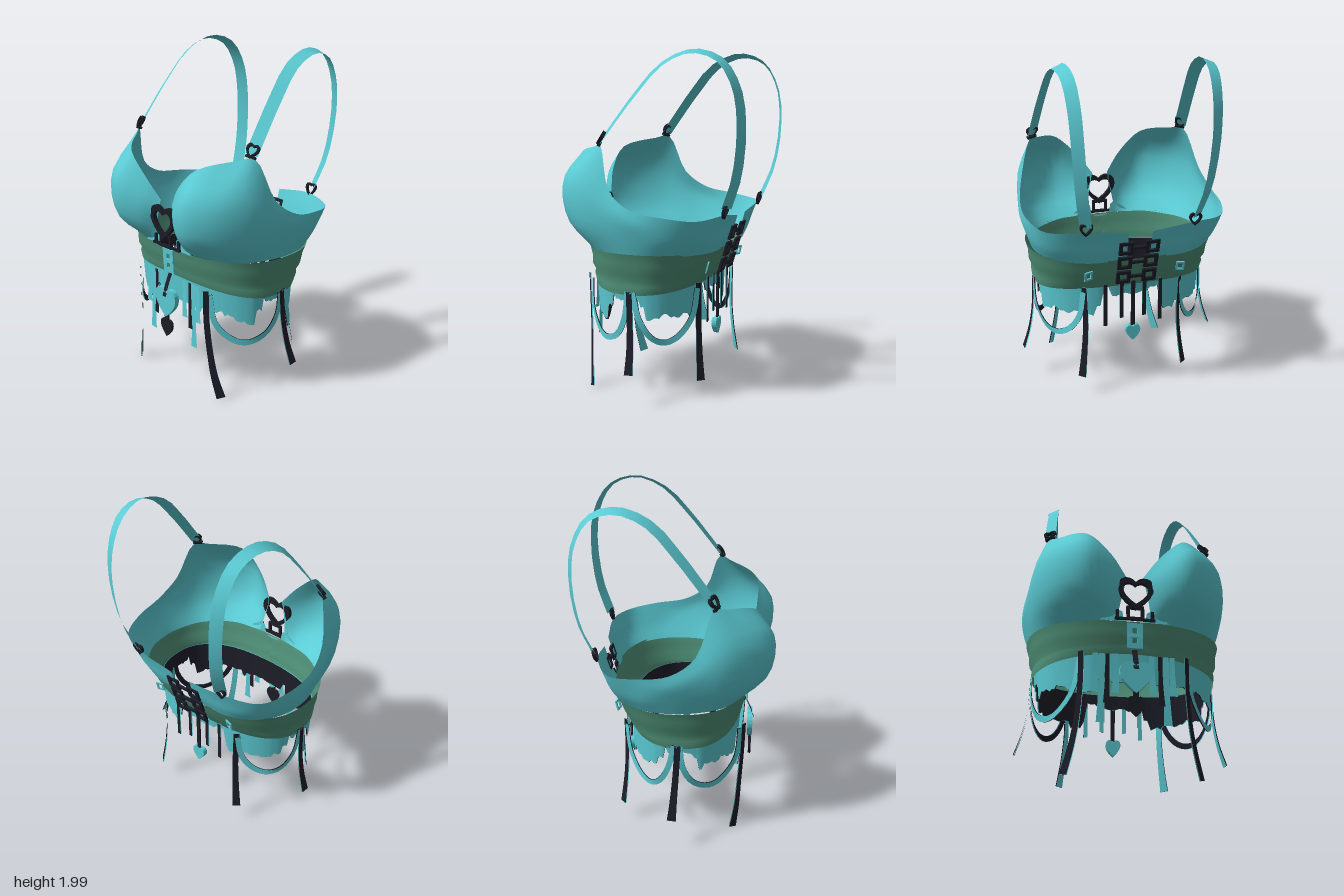
import * as THREE from 'three';

const V = (x, y, z) => new THREE.Vector3(x, y, z);
const mat = (name, color) => new THREE.MeshStandardMaterial({ name, color, side: THREE.DoubleSide });

// Surface through a (nu+1) x (nv+1) lattice of points; flip turns its front around
function grid(nu, nv, fn, flip = false) {
  const pos = [], idx = [];
  for (let i = 0; i <= nu; i++) for (let j = 0; j <= nv; j++) pos.push(...fn(i / nu, j / nv, i, j).toArray());
  for (let i = 0; i < nu; i++) for (let j = 0; j < nv; j++) {
    const a = i * (nv + 1) + j, b = a + nv + 1;
    if (flip) idx.push(a, b + 1, b, a, a + 1, b + 1);
    else idx.push(a, b, b + 1, a, b + 1, a + 1);
  }
  const g = new THREE.BufferGeometry();
  g.setAttribute('position', new THREE.Float32BufferAttribute(pos, 3));
  g.setIndex(idx);
  g.computeVertexNormals();
  return g;
}

// Flat band along a curve, facing the direction out(p), widening to its end by flare
function ribbon(points, width, out, offset = 0, flare = 0) {
  const curve = new THREE.CatmullRomCurve3(points);
  return grid(20, 1, (u, v) => {
    const p = curve.getPoint(u), t = curve.getTangent(u), o = out(p);
    const s = t.clone().cross(o).normalize();
    const normal = s.clone().cross(t).normalize();
    const w = width * (1 + flare * u * u * u);
    return p.addScaledVector(s, (v - 0.5) * w).addScaledVector(normal, offset);
  }, true);
}

// Rounded oval: a = 0 is the front centre
function oval(a, y, rx, zf, zb) {
  const f = (s) => Math.sign(s) * Math.pow(Math.abs(s), 0.83);
  return V(rx * f(Math.sin(a)), y, (zf + zb) / 2 + (zf - zb) / 2 * f(Math.cos(a)));
}

function heartPath(w, h, Type = THREE.Shape) {
  const s = new Type(), x = w / 2, y = h / 2;
  s.moveTo(0, -y);
  s.bezierCurveTo(x * 0.5, -y * 0.6, x, -y * 0.1, x, y * 0.4);
  s.bezierCurveTo(x, y * 1.1, x * 0.3, y * 1.2, 0, y * 0.75);
  s.bezierCurveTo(-x * 0.3, y * 1.2, -x, y * 1.1, -x, y * 0.4);
  s.bezierCurveTo(-x, -y * 0.1, -x * 0.5, -y * 0.6, 0, -y);
  return s;
}

function rectPath(w, h, Type = THREE.Shape) {
  const s = new Type();
  s.moveTo(-w / 2, -h / 2); s.lineTo(w / 2, -h / 2); s.lineTo(w / 2, h / 2); s.lineTo(-w / 2, h / 2); s.closePath();
  return s;
}

// Extruded outline, optionally hollowed to a frame
function plate(path, w, h, rim, depth) {
  const s = path(w, h);
  if (rim) s.holes.push(path(w - 2 * rim, h - 2 * rim, THREE.Path));
  return new THREE.ExtrudeGeometry(s, { depth, bevelEnabled: false, curveSegments: 6 }).translate(0, 0, -depth / 2);
}

// Half of the bust shell: columns from centre front to centre back, each bottom to top
const COLUMNS = [
  [0.10, 0.89, 0.42, 0.08, 1.00, 0.44, 0.06, 1.09, 0.45, 0.05, 1.16, 0.44],
  [0.18, 0.88, 0.42, 0.17, 1.00, 0.51, 0.16, 1.14, 0.53, 0.14, 1.28, 0.47],
  [0.28, 0.88, 0.40, 0.30, 1.02, 0.545, 0.30, 1.25, 0.57, 0.28, 1.41, 0.46],
  [0.40, 0.87, 0.34, 0.44, 1.02, 0.46, 0.445, 1.25, 0.485, 0.43, 1.46, 0.30],
  [0.48, 0.87, 0.25, 0.535, 1.02, 0.32, 0.55, 1.25, 0.325, 0.49, 1.47, 0.23],
  [0.53, 0.87, 0.12, 0.57, 1.00, 0.16, 0.59, 1.13, 0.16, 0.57, 1.23, 0.14],
  [0.545, 0.87, 0, 0.58, 0.97, 0, 0.605, 1.06, 0, 0.60, 1.13, 0],
  [0.52, 0.87, -0.15, 0.56, 0.95, -0.16, 0.58, 1.03, -0.17, 0.59, 1.10, -0.18],
  [0.43, 0.87, -0.28, 0.46, 0.94, -0.32, 0.49, 1.01, -0.34, 0.52, 1.08, -0.35],
  [0.28, 0.87, -0.36, 0.29, 0.94, -0.39, 0.30, 1.01, -0.41, 0.31, 1.09, -0.44],
  [0.07, 0.87, -0.37, 0.07, 0.93, -0.40, 0.07, 0.99, -0.42, 0.07, 1.06, -0.44],
];

function bustHalf(side) {
  const cols = COLUMNS.map((c) => new THREE.CatmullRomCurve3(
    [0, 3, 6, 9].map((k) => V(side * c[k], c[k + 1], c[k + 2]))));
  const nv = 10, rows = [];
  for (let j = 0; j <= nv; j++) rows.push(new THREE.CatmullRomCurve3(cols.map((c) => c.getPoint(j / nv))));
  return grid(40, nv, (u, v, i, j) => rows[j].getPoint(u), side < 0);
}

// Waist rows: height, half width, front z, back z
const WAIST = [
  [0.88, 0.57, 0.435, -0.385], [0.82, 0.553, 0.425, -0.362], [0.76, 0.55, 0.422, -0.342],
  [0.72, 0.525, 0.405, -0.32], [0.69, 0.537, 0.408, -0.31], [0.64, 0.53, 0.395, -0.28],
];

export function createModel() {
  const root = new THREE.Group();
  root.name = 'corsetTop';
  const teal = mat('teal', 0x5bcbd4), green = mat('green', 0x4f9078), dark = mat('nearBlack', 0x1c1c27);
  const add = (name, geo, m, x = 0, y = 0, z = 0, rx = 0, ry = 0) => {
    const mesh = new THREE.Mesh(geo, m);
    mesh.name = name;
    mesh.position.set(x, y, z);
    mesh.rotation.set(rx, ry, 0);
    root.add(mesh);
  };
  const radial = (p) => V(p.x, 0, p.z - 0.04).normalize();
  const facing = (z) => () => V(0, 0, z);
  // Band with a different colour on its inner face
  const twoTone = (name, pts, w, out, outer, inner, flare = 0) => {
    add(name, ribbon(pts, w, out, 0.003, flare), outer);
    add(name + 'Lining', ribbon(pts, w, out, -0.003, flare), inner);
  };

  // Waistband, with its lower edge raised at front and back
  add('waistband', grid(72, 5, (u, v, i, j) => {
    const [y, rx, zf, zb] = WAIST[j], a = u * Math.PI * 2, c = Math.cos(a);
    const lift = (0.88 - y) / 0.24 * c * c * (c > 0 ? 0.055 : 0.035);
    return oval(a, y + lift, rx, zf, zb);
  }, true), green);

  // Tattered skirt: teal outside, dark lining, short at the centre back
  const hash = (n) => { const s = Math.sin(n * 12.9898 + 4.1) * 43758.5453; return s - Math.floor(s); };
  const hem = (i, n) => {
    const a = i / n * Math.PI * 2, c = Math.cos(a), s = Math.abs(Math.sin(a));
    const base = s < 0.3 ? (c > 0 ? 0.55 : 0.63) : Math.abs(c) < 0.22 ? 0.59 : 0.515;
    return base + (hash(Math.floor(i / 4)) - 0.5) * 0.09 + (hash(i + 200) - 0.5) * 0.02;
  };
  const skirt = (inset) => grid(144, 2, (u, v, i) => {
    const y = THREE.MathUtils.lerp(0.7, hem(i % 144, 144), v), d = inset + v * 0.012;
    return oval(u * Math.PI * 2, y, 0.524 - d, 0.396 - d, -0.28 + d);
  }, true);
  add('skirt', skirt(0), teal);
  add('skirtLining', skirt(0.006), dark);

  for (const s of [1, -1]) {
    const P = (...list) => list.map(([x, y, z]) => V(s * x, y, z));
    add('bustCup', bustHalf(s), teal);

    // Shoulder strap and its heart-shaped rings
    const shoulder = P([0.475, 1.49, 0.24], [0.45, 1.75, 0.04], [0.43, 1.92, -0.12], [0.42, 1.985, -0.29], [0.405, 1.94, -0.44],
      [0.395, 1.8, -0.53], [0.385, 1.6, -0.56], [0.36, 1.32, -0.53], [0.325, 1.13, -0.46]);
    add('shoulderStrap', ribbon(shoulder, 0.072, (p) => V(s * 0.22, p.y - 1.4, p.z + 0.15).normalize()), teal);
    add('frontStrapRing', plate(heartPath, 0.075, 0.08, 0.013, 0.02), dark, s * 0.475, 1.51, 0.235, -0.6, s * 0.4);
    add('frontStrapBar', new THREE.BoxGeometry(0.06, 0.014, 0.02), dark, s * 0.475, 1.48, 0.245, -0.5, s * 0.4);
    add('backStrapRing', plate(heartPath, 0.075, 0.08, 0.013, 0.016), dark, s * 0.32, 1.11, -0.45, -0.25);

    // Long hanging straps at front, side and back
    twoTone('frontStrap', P([0.295, 0.69, 0.412], [0.295, 0.5, 0.407], [0.31, 0.3, 0.395], [0.335, 0.15, 0.385], [0.37, 0.01, 0.365]),
      0.034, radial, dark, teal, 0.6);
    twoTone('sideStrap', P([0.535, 0.66, 0.04], [0.545, 0.47, 0.03], [0.57, 0.33, 0.02], [0.612, 0.2, 0.01]),
      0.036, radial, dark, teal, 0.5);
    twoTone('backStrap', P([0.295, 0.69, -0.285], [0.288, 0.45, -0.285], [0.3, 0.28, -0.295], [0.32, 0.12, -0.312]),
      0.034, radial, dark, teal, 0.5);

    // Drooping loops between the straps
    twoTone('frontLoop', P([0.3, 0.66, 0.39], [0.33, 0.48, 0.37], [0.4, 0.375, 0.29], [0.45, 0.355, 0.22], [0.5, 0.4, 0.13],
      [0.53, 0.51, 0.07], [0.535, 0.66, 0.05]), 0.034, radial, teal, dark);
    twoTone('backLoop', P([0.535, 0.66, 0.02], [0.53, 0.5, -0.02], [0.49, 0.39, -0.08], [0.44, 0.36, -0.14], [0.38, 0.39, -0.2],
      [0.32, 0.5, -0.26], [0.3, 0.66, -0.28]), 0.034, radial, teal, dark);

    // Short fringe strips at front and back
    for (const [x, end, w, m] of [[0.18, 0.29, 0.032, teal], [0.148, 0.4, 0.024, dark], [0.215, 0.46, 0.03, teal], [0.1, 0.46, 0.03, teal]]) {
      add('frontFringe', ribbon(P([x, 0.69, 0.403], [x, (0.69 + end) / 2, 0.403], [x + 0.005, end, 0.406]), w, facing(1), 0, 0.5), m);
    }
    for (const [x, end] of [[0.07, 0.47], [0.17, 0.43]]) {
      twoTone('backFringe', P([x, 0.7, -0.295], [x, 0.55, -0.295], [x, end, -0.295]), 0.024, facing(-1), dark, teal);
    }

    // Triangular gore under the cup, edged with a dark bar
    const gore = new THREE.Shape([[0.06, 0.88], [0.2, 0.88], [0.1, 0.955], [0.07, 0.94]].map(([x, y]) => new THREE.Vector2(s * x, y)));
    add('centreGore', new THREE.ShapeGeometry(gore), teal, 0, 0, 0.432);
    add('goreBar', new THREE.BoxGeometry(0.018, 0.06, 0.014), dark, s * 0.1, 0.915, 0.44);

    // Back clasp frames, leaning with the back of the garment
    [0.96, 0.86, 0.76].forEach((y, k) => {
      const z = -0.414 + k * 0.03;
      add('backClasp', plate(rectPath, 0.085, 0.085, 0.02, 0.014), dark, s * 0.078, y, z, -0.28);
      add('backClaspHook', new THREE.BoxGeometry(0.045, 0.016, 0.014), dark, s * 0.02, y, z, -0.28);
    });

    // Little waist tabs near the back
    add('waistTab', plate(rectPath, 0.05, 0.06, 0.012, 0.008), teal, s * 0.28, 0.78, -0.333, -0.25, s * 0.25);
  }

  // Centre front: heart ring, small frame, waist buckle, tongue and pendants
  add('heartRing', plate(heartPath, 0.21, 0.195, 0.032, 0.025), dark, 0, 1.037, 0.465);
  add('centreFrame', plate(rectPath, 0.1, 0.085, 0.018, 0.014), dark, 0, 0.925, 0.45);
  add('centreBar', new THREE.BoxGeometry(0.23, 0.014, 0.014), dark, 0, 0.89, 0.445);
  add('waistBuckle', plate(rectPath, 0.088, 0.15, 0.03, 0.009), teal, 0, 0.795, 0.432, 0.05);
  add('waistBuckleBar', new THREE.BoxGeometry(0.085, 0.025, 0.009), teal, 0, 0.795, 0.434);
  add('frontTongue', ribbon([V(0, 0.715, 0.42), V(0, 0.64, 0.455), V(0, 0.58, 0.474)], 0.03, facing(1)), dark);
  add('heartPendant', plate(heartPath, 0.18, 0.18, 0, 0.03), teal, 0, 0.535, 0.452);
  add('smallHeartPendant', plate(heartPath, 0.1, 0.11, 0, 0.016), dark, 0, 0.37, 0.455);
  add('pendantLink', new THREE.BoxGeometry(0.03, 0.05, 0.012), dark, 0, 0.43, 0.455);

  // Centre back: tongue and pendant
  add('backTongue', new THREE.BoxGeometry(0.024, 0.29, 0.01), dark, 0, 0.56, -0.297);
  add('backHeartPendant', plate(heartPath, 0.09, 0.1, 0, 0.03), teal, 0, 0.365, -0.29);

  return root;
}
